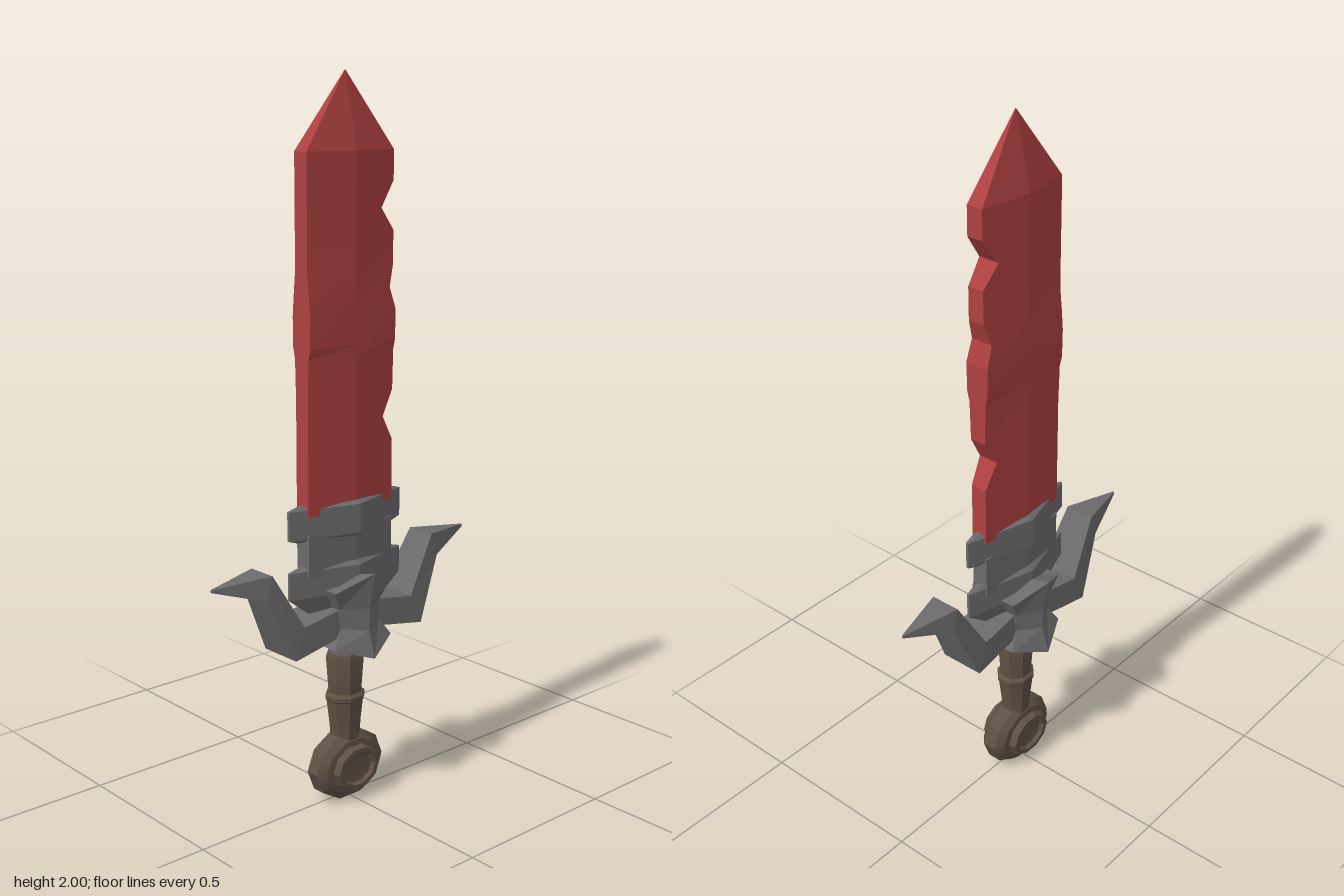
import * as THREE from 'three';
import { toCreasedNormals } from 'three/addons/utils/BufferGeometryUtils.js';

const material = (name, color) => {
  const m = new THREE.MeshStandardMaterial({ color });
  m.name = name;
  return m;
};

// Skins closed rings of [x, y, z] points, counterclockwise seen from the last ring's end.
function loft(rings) {
  const pos = [];
  const tri = (a, b, c) => pos.push(...a, ...b, ...c);
  const n = rings[0].length;
  for (let r = 0; r < rings.length - 1; r++) {
    const a = rings[r], b = rings[r + 1];
    for (let i = 0; i < n; i++) {
      const j = (i + 1) % n;
      tri(a[i], a[j], b[j]);
      tri(a[i], b[j], b[i]);
    }
  }
  const first = rings[0], last = rings[rings.length - 1];
  const mid = (ring) => [0, 1, 2].map((k) => ring.reduce((s, p) => s + p[k], 0) / n);
  for (let i = 0; i < n; i++) {
    const j = (i + 1) % n;
    tri(mid(first), first[j], first[i]);
    tri(mid(last), last[i], last[j]);
  }
  const g = new THREE.BufferGeometry();
  g.setAttribute('position', new THREE.Float32BufferAttribute(pos, 3));
  g.computeVertexNormals();
  return g;
}

// Six-sided ring with a ridge on the front and back.
const ridgedRing = (yc, ys, xl, xr, zc, zl, zr = zl) => [
  [xl, ys, zl], [0, yc, zc], [xr, ys, zr],
  [xr, ys, -zr], [0, yc, -zc], [xl, ys, -zl],
];

export function createModel() {
  const group = new THREE.Group();
  const red = material('red blade', 0xad4040);
  const grey = material('grey metal', 0x6c6a6c);
  const brown = material('brown grip', 0x5e5044);
  const add = (name, geometry, mat) => {
    const mesh = new THREE.Mesh(geometry, mat);
    mesh.name = name;
    group.add(mesh);
    return mesh;
  };

  // Blade: height, notched edge x, extra edge thickness
  const bladeRows = [
    [0.85, 0.15, 0], [1.02, 0.15, 0], [1.09, 0.11, 0], [1.16, 0.15, 0],
    [1.27, 0.15, 0.003], [1.30, 0.15, 0.01], [1.38, 0.15, 0.011], [1.44, 0.13, 0.006],
    [1.50, 0.15, 0], [1.59, 0.15, 0], [1.65, 0.10, 0], [1.72, 0.15, 0], [1.80, 0.15, 0],
  ];
  const edgeZ = (x) => 0.045 - 0.14 * x;
  const bladeRings = bladeRows.map(([y, x, t]) =>
    ridgedRing(y, y, -0.15, x, 0.045, edgeZ(0.15) + t, edgeZ(x) + t));
  bladeRings.push(ridgedRing(2, 2, -0.001, 0.001, 0.001, 0.0005));
  add('blade', toCreasedNormals(loft(bladeRings), 0.2), red);

  // Collars and neck below the blade: height, half width, half depth, end depth
  const collar = (name, rows) => add(name, loft(rows.map(([y, x, zc, ze]) =>
    ridgedRing(y, y, -x, x, zc, ze))), grey);
  collar('upperCollar', [[0.78, 0.17, 0.05, 0.004], [0.79, 0.2, 0.062, 0.004],
    [0.87, 0.2, 0.062, 0.004], [0.878, 0.17, 0.05, 0.004]]);
  collar('neck', [[0.68, 0.15, 0.046, 0.024], [0.8, 0.15, 0.046, 0.024]]);
  collar('lowerCollar', [[0.55, 0.1, 0.045, 0.004], [0.595, 0.16, 0.052, 0.004], [0.625, 0.2, 0.062, 0.004],
    [0.70, 0.2, 0.062, 0.004], [0.71, 0.16, 0.05, 0.004]]);

  // Guard centre, pinched at the waist
  add('guardCentre', loft([
    ridgedRing(0.445, 0.48, -0.103, 0.103, 0.122, 0.075),
    ridgedRing(0.52, 0.53, -0.07, 0.07, 0.1, 0.06),
    ridgedRing(0.585, 0.585, -0.073, 0.073, 0.1, 0.06),
    ridgedRing(0.688, 0.64, -0.1, 0.1, 0.122, 0.075),
  ]), grey);

  // Horned guard arms: upper x, y, lower x, y, upper and lower half depth
  const armRows = [
    [0.03, 0.59, 0.03, 0.515, 0.055, 0.06],
    [0.195, 0.565, 0.23, 0.48, 0.06, 0.065],
    [0.29, 0.725, 0.31, 0.66, 0.044, 0.046],
    [0.456, 0.713, 0.456, 0.706, 0.002, 0.002],
  ];
  const armGeometry = loft(armRows.map(([ux, uy, lx, ly, uz, lz]) =>
    [[lx, ly, lz], [lx, ly, -lz], [ux, uy, -uz], [ux, uy, uz]]));
  add('leftGuardArm', armGeometry, grey);
  add('rightGuardArm', armGeometry, grey).rotation.y = Math.PI;

  // Grip with a raised band, and a metal ferrule above it
  const turned = (rows, sides) => {
    const g = new THREE.LatheGeometry(rows.map(([r, y]) => new THREE.Vector2(r, y)), sides, Math.PI / sides);
    return toCreasedNormals(g, 0.45);
  };
  add('grip', turned([[0.045, 0.16], [0.047, 0.22], [0.056, 0.295], [0.06, 0.30], [0.06, 0.31],
    [0.05, 0.318], [0.058, 0.425], [0.054, 0.435], [0, 0.435]], 8), brown).scale.z = 0.9;
  add('ferrule', turned([[0.047, 0.43], [0.047, 0.48]], 8), grey);

  // Round pommel with a raised rim and sunken disc on both faces
  const half = [[0, 0.046], [0.054, 0.05], [0.06, 0.062], [0.074, 0.062], [0.08, 0.042], [0.1, 0.04], [0.122, 0.02]];
  const profile = [...half.map(([r, y]) => [r, -y]), ...half.slice().reverse()];
  const pommel = add('pommel', turned(profile, 10), brown);
  pommel.rotation.x = Math.PI / 2;
  pommel.scale.z = 0.82;
  pommel.position.y = 0.1;

  return group;
}
